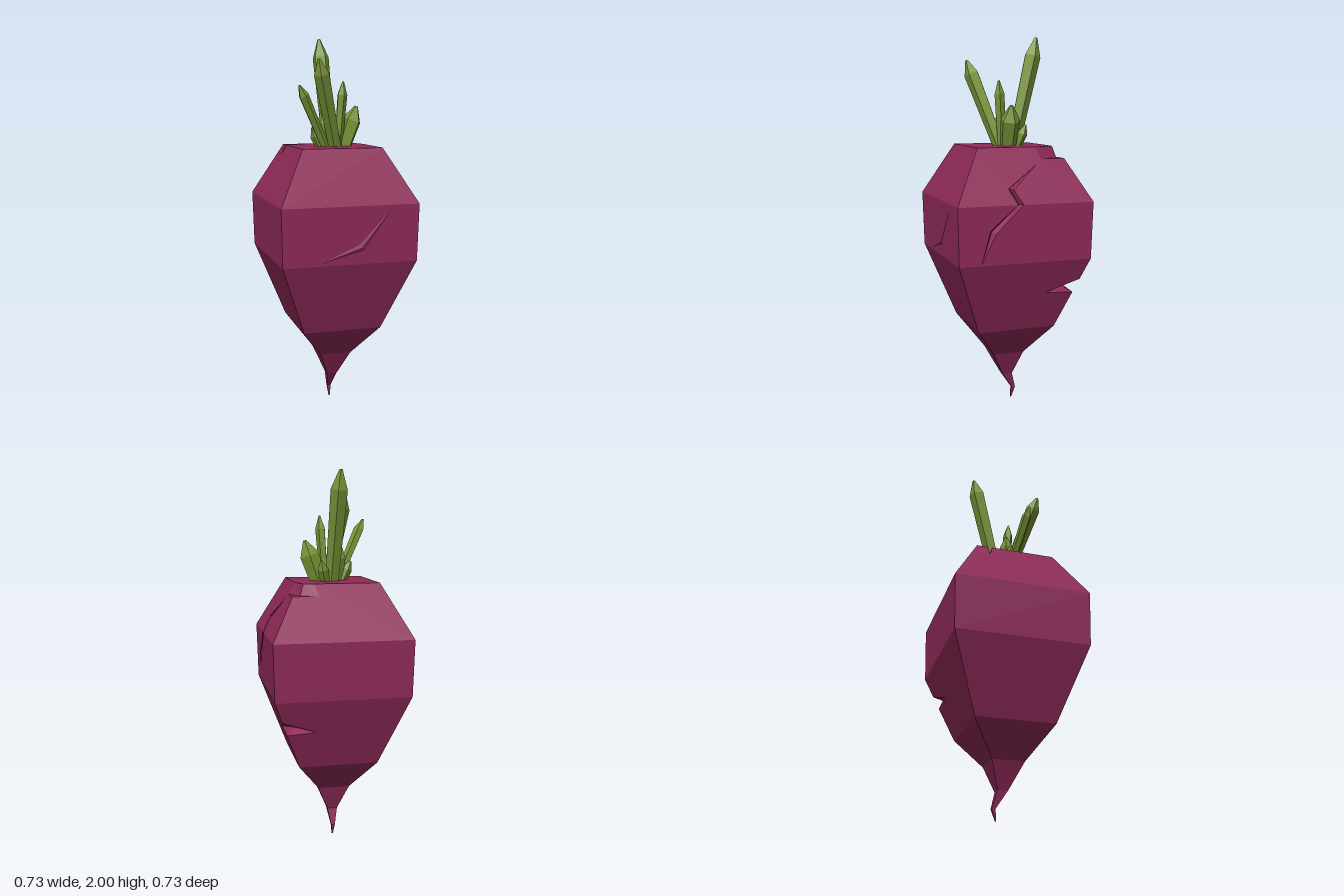
import * as THREE from 'three';

// Square root body: rings of [height, half width, z offset]
const RINGS = [
  [1.43, 0.215, 0], [1.15, 0.365, 0], [0.85, 0.358, 0], [0.46, 0.213, 0],
  [0.29, 0.086, 0], [0.15, 0.027, -0.013], [0.06, 0.01, -0.055], [0, 0.003, -0.042],
];

function half(y) {
  for (let i = 0; i < RINGS.length - 1; i++) {
    const [y0, h0] = RINGS[i], [y1, h1] = RINGS[i + 1];
    if (y >= y1) return h1 + (h0 - h1) * (y - y1) / (y0 - y1);
  }
  return 0;
}

// Points on the four sides, from a sideways position, a height and a depth below the surface
const SIDES = {
  left: { n: [1, 0, 0], at: (u, y, d = 0) => [half(y) - d, y, u] },
  right: { n: [-1, 0, 0], at: (u, y, d = 0) => [d - half(y), y, u] },
  front: { n: [0, 0, 1], at: (u, y, d = 0) => [u, y, half(y) - d] },
  back: { n: [0, 0, -1], at: (u, y, d = 0) => [u, y, d - half(y)] },
};

function buildBody() {
  const positions = [];

  // Fill a polygon so that it faces along n
  function face(points, n) {
    const p = points.map((q) => new THREE.Vector3(...q));
    const dir = new THREE.Vector3(...n);
    const [ax, ay, az] = n.map(Math.abs);
    const flat = p.map((v) => (ay > ax && ay > az ? new THREE.Vector2(v.x, v.z)
      : ax >= az ? new THREE.Vector2(v.z, v.y) : new THREE.Vector2(v.x, v.y)));
    const tris = p.length === 3 ? [[0, 1, 2]] : THREE.ShapeUtils.triangulateShape(flat, []);
    for (const [i, j, k] of tris) {
      const normal = p[j].clone().sub(p[i]).cross(p[k].clone().sub(p[i]));
      for (const m of normal.dot(dir) < 0 ? [i, k, j] : [i, j, k]) positions.push(...p[m].toArray());
    }
  }

  // Side polygon given as [u, y] pairs
  const panel = (side, pts) => face(pts.map(([u, y]) => SIDES[side].at(u, y)), SIDES[side].n);

  // V-shaped strip between two lips; negative depth makes a raised ridge
  function groove(side, lipA, lipB, depth) {
    const { at, n } = SIDES[side];
    const bed = lipA.map(([u, y], i) => {
      const [v, w] = lipB[i];
      const closed = u === v && y === w;
      return at((u + v) / 2, (y + w) / 2, closed ? 0 : depth);
    });
    for (const lip of [lipA, lipB]) {
      for (let i = 0; i + 1 < lip.length; i++) {
        const a = at(...lip[i]), b = at(...lip[i + 1]);
        face([a, b, bed[i]], n);
        face([b, bed[i + 1], bed[i]], n);
      }
    }
  }

  // Four-walled nick across an edge: two edge points, two tips and the deepest point
  function nick(edges, tips, deep, n) {
    for (const e of edges) for (const t of tips) face([e, t, deep], n);
  }

  const box = (y0, y1) => [[-half(y0), y0], [half(y0), y0], [half(y1), y1], [-half(y1), y1]];

  // Upper band, with the broken corner, the long crack and the rim nick
  const floor = 1.37, hf = half(floor);
  panel('front', box(1.43, 1.15));
  panel('back', [[-0.215, 1.43], [0.13, 1.43], [0.11, floor], [hf, floor], [0.365, 1.15], [-0.365, 1.15]]);
  panel('right', [[-0.215, 1.43], [-0.155, 1.43], [-0.15, 1.37], [-0.13, 1.43], [0.215, 1.43],
    [0.365, 1.15], [-0.365, 1.15]]);
  const upperA = [[0.05, 1.15], [0.087, 1.228], [-0.09, 1.345]];
  const upperB = [[0.02, 1.15], [0.06, 1.222], [-0.09, 1.345]];
  panel('left', [[0.365, 1.15], ...upperA, upperB[1], upperB[0], [-0.365, 1.15], [-hf, floor],
    [-0.115, floor], [-0.1, 1.43], [0.215, 1.43]]);
  groove('left', upperA, upperB, 0.03);

  // Middle band, with the rest of the crack and a low ridge on the front
  const lowerA = [[0.05, 1.15], [0.195, 1.026], [0.24, 0.86]];
  const lowerB = [[0.02, 1.15], [0.165, 1.008], [0.24, 0.86]];
  panel('left', [[0.365, 1.15], ...lowerA, lowerB[1], lowerB[0], [-0.365, 1.15],
    [-0.358, 0.85], [0.358, 0.85]]);
  groove('left', lowerA, lowerB, 0.03);
  const ridgeA = [[-0.17, 0.86], [0.04, 0.95], [0.215, 1.13]];
  const ridgeB = [[-0.17, 0.86], [0.07, 0.92], [0.215, 1.13]];
  for (const side of ['front', 'back', 'right']) panel(side, box(1.15, 0.85));
  groove('front', ridgeA, ridgeB, -0.008);

  // Lower band, with a nick in the back left corner
  panel('front', box(0.85, 0.46));
  panel('right', box(0.85, 0.46));
  const hu = half(0.735), hl = half(0.66);
  for (const [side, s] of [['left', -1], ['back', 1]]) {
    panel(side, [[-s * 0.358, 0.85], [s * 0.358, 0.85], [s * hu, 0.735], [s * 0.13, 0.67],
      [s * hl, 0.66], [s * 0.213, 0.46], [-s * 0.213, 0.46]]);
  }
  nick([[hu, 0.735, -hu], [hl, 0.66, -hl]],
    [SIDES.left.at(-0.13, 0.67), SIDES.back.at(0.13, 0.67)], [0.24, 0.69, -0.24], [1, 0, -1]);

  // Tapering tail
  for (let i = 3; i + 1 < RINGS.length; i++) {
    const corners = ([y, h, c]) => [[-h, y, c + h], [h, y, c + h], [h, y, c - h], [-h, y, c - h]];
    const a = corners(RINGS[i]), b = corners(RINGS[i + 1]);
    ['front', 'left', 'back', 'right'].forEach((side, k) => {
      const m = (k + 1) % 4;
      face([a[k], a[m], b[m], b[k]], SIDES[side].n);
    });
  }

  // Flat top, the rim nick and the broken corner
  const rim = [[0.13, 1.43, -0.215], [0.185, 1.43, -0.205], [0.215, 1.43, -0.1]];
  const foot = [[0.11, floor, -hf], [0.203, floor, -0.222], [hf, floor, -0.115]];
  const e1 = [-0.215, 1.43, -0.155], e2 = [-0.215, 1.43, -0.13], topTip = [-0.11, 1.43, -0.12];
  face([[-0.215, 1.43, 0.215], e2, topTip, e1, [-0.215, 1.43, -0.215], ...rim, [0.215, 1.43, 0.215]], [0, 1, 0]);
  nick([e1, e2], [topTip, SIDES.right.at(-0.15, 1.37)], [-0.2, 1.4, -0.142], [-1, 1, 0]);
  face([foot[0], [hf, floor, -hf], foot[2], foot[1]], [0, 1, 0]);
  for (let i = 0; i < 2; i++) {
    face([rim[i], rim[i + 1], foot[i]], [1, 0.5, -1]);
    face([rim[i + 1], foot[i + 1], foot[i]], [1, 0.5, -1]);
  }

  const geometry = new THREE.BufferGeometry();
  geometry.setAttribute('position', new THREE.Float32BufferAttribute(positions, 3));
  geometry.computeVertexNormals();
  return geometry;
}

// Faceted stalk with a blunt pointed end
function buildStalk(base, tip, radius, shoulder, turn) {
  const from = new THREE.Vector3(...base);
  const axis = new THREE.Vector3(...tip).sub(from);
  const length = axis.length();
  const profile = [[0, 0], [radius * 0.8, 0], [radius, length - shoulder], [radius * 0.18, length], [0, length]];
  const geometry = new THREE.LatheGeometry(profile.map(([r, y]) => new THREE.Vector2(r, y)), 5);
  geometry.rotateY(turn);
  geometry.applyQuaternion(new THREE.Quaternion().setFromUnitVectors(new THREE.Vector3(0, 1, 0), axis.normalize()));
  return geometry.translate(...base);
}

export function createModel() {
  const model = new THREE.Group();
  const purple = new THREE.MeshStandardMaterial({ color: 0x8f2a58, flatShading: true });
  const green = new THREE.MeshStandardMaterial({ color: 0x7a9638, flatShading: true });

  const body = new THREE.Mesh(buildBody(), purple);
  body.name = 'rootBody';
  model.add(body);

  // Stalks: base, tip, radius, length of the pointed end, turn
  const stalks = new THREE.Group();
  stalks.name = 'stalks';
  [
    [[0.004, 1.4, -0.045], [-0.014, 2.0, -0.19], 0.046, 0.1, 0.3],
    [[0.02, 1.4, 0.02], [-0.115, 1.88, 0.17], 0.042, 0.08, 0.9],
    [[-0.03, 1.4, 0.02], [-0.2, 1.75, 0.095], 0.028, 0.06, 0.2],
    [[0.06, 1.4, 0], [0.14, 1.64, 0.005], 0.054, 0.08, 0.5],
    [[0.03, 1.4, 0.02], [0.052, 1.77, 0.045], 0.028, 0.07, 0.1],
    [[-0.05, 1.4, 0.01], [-0.11, 1.53, 0.01], 0.03, 0.05, 0.7],
    [[0.035, 1.4, -0.05], [0.07, 1.54, -0.1], 0.03, 0.05, 0.4],
    [[-0.03, 1.4, 0.01], [-0.05, 1.62, 0], 0.038, 0.07, 0.6],
  ].forEach((spec) => {
    const stalk = new THREE.Mesh(buildStalk(...spec), green);
    stalk.name = 'stalk';
    stalks.add(stalk);
  });
  model.add(stalks);
  return model;
}
